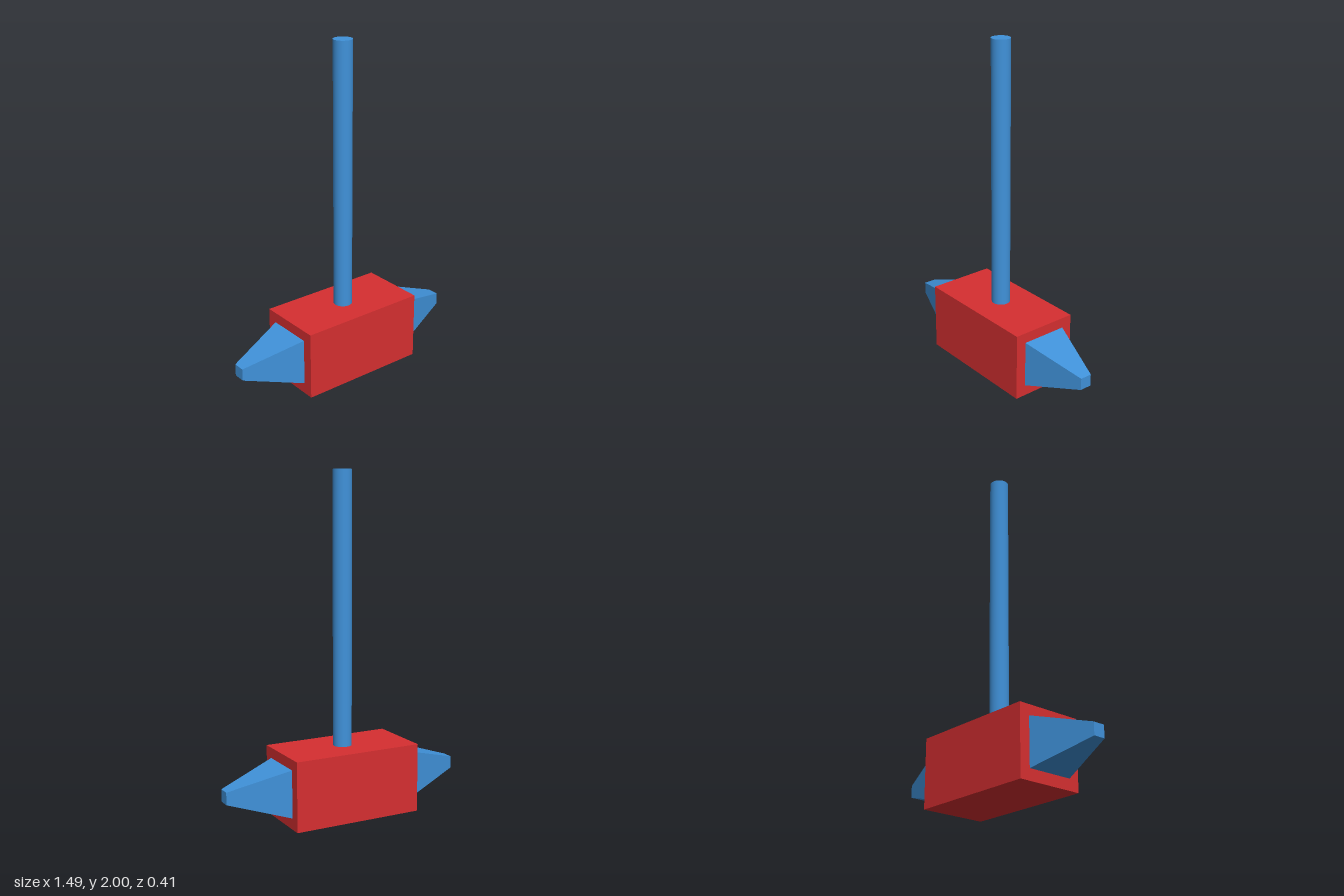
import * as THREE from 'three';

export function createModel() {
  const red = new THREE.MeshStandardMaterial({ color: 0xd62f31 });
  red.name = 'red';
  const blue = new THREE.MeshStandardMaterial({ color: 0x4092da });
  blue.name = 'blue';

  const model = new THREE.Group();
  model.name = 'mallet';
  const add = (name, geometry, material, x, y, z) => {
    const mesh = new THREE.Mesh(geometry, material);
    mesh.name = name;
    mesh.position.set(x, y, z);
    model.add(mesh);
    return mesh;
  };

  const headHeight = 0.408, headHalf = 0.394, tipX = 0.747;

  // Head block
  add('head', new THREE.BoxGeometry(headHalf * 2, headHeight, 0.406), red, 0, headHeight / 2, 0);

  // Round handle, sunk slightly into the head
  const handleBottom = headHeight - 0.02;
  add('handle', new THREE.CylinderGeometry(0.055, 0.055, 2 - handleBottom, 48), blue,
    0, (2 + handleBottom) / 2, 0);

  // Square tapered spikes with flat faces, one on each end
  const length = tipX - headHalf;
  for (const side of [1, -1]) {
    const spike = new THREE.CylinderGeometry(0.036 * Math.SQRT2, 0.14 * Math.SQRT2, length, 4)
      .rotateY(Math.PI / 4).rotateZ(-side * Math.PI / 2).toNonIndexed();
    spike.computeVertexNormals();
    add(side > 0 ? 'leftSpike' : 'rightSpike', spike, blue,
      side * (headHalf + length / 2), 0.206, 0);
  }

  return model;
}
